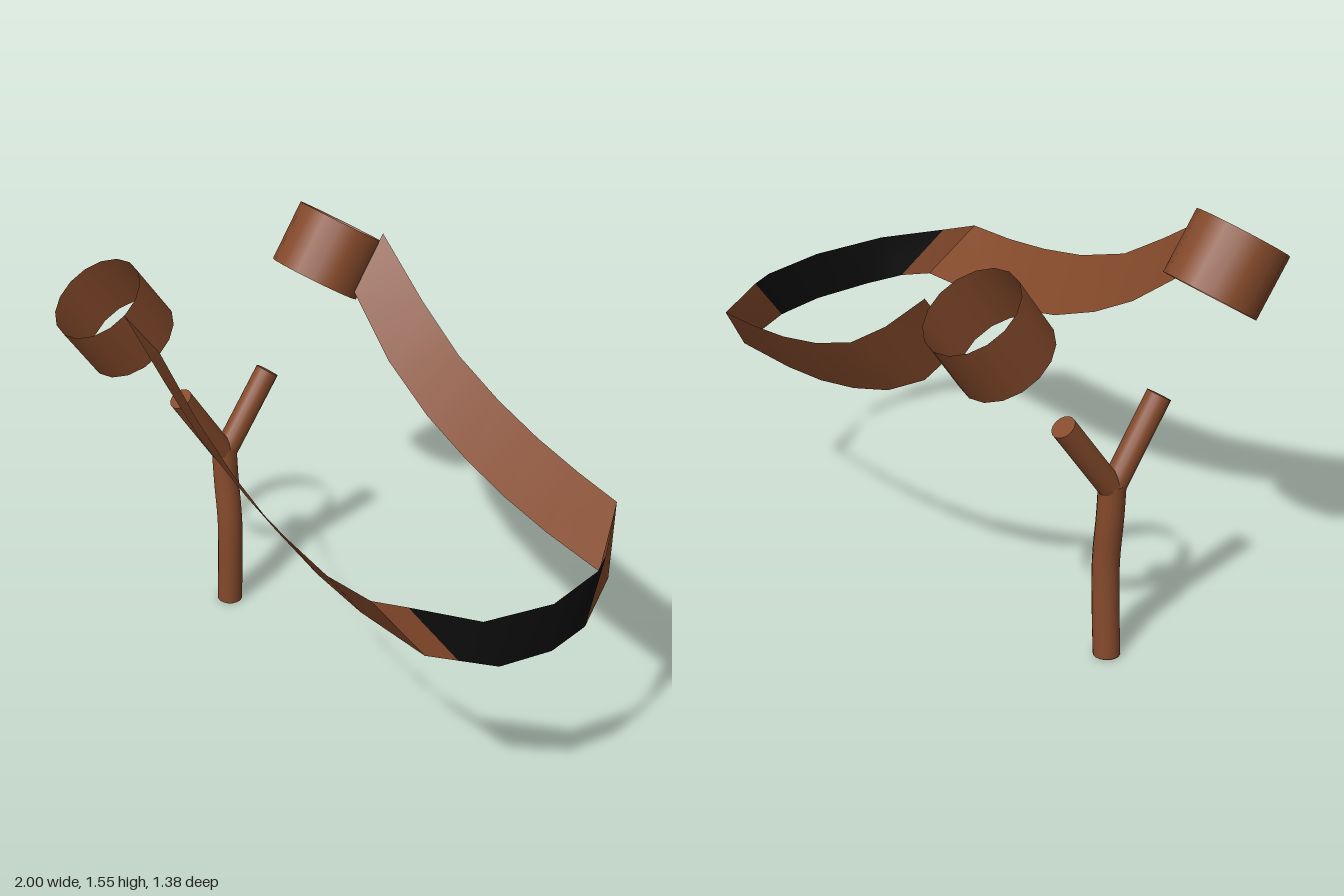
import * as THREE from 'three';

const V = (x, y, z) => new THREE.Vector3(x, y, z);

const wood = new THREE.MeshStandardMaterial({ color: 0x854a2b, side: THREE.DoubleSide });
wood.name = 'brown';
const leather = new THREE.MeshStandardMaterial({ color: 0x0d0d0d, side: THREE.DoubleSide });
leather.name = 'black';

function add(group, name, geometry, material) {
  const mesh = new THREE.Mesh(geometry, material);
  mesh.name = name;
  group.add(mesh);
  return mesh;
}

// Open strip between matching rows of top and bottom points
function strip(rows) {
  const pos = [], idx = [];
  rows.forEach(([top, bottom], i) => {
    pos.push(...top, ...bottom);
    if (i) {
      const a = 2 * i - 2;
      idx.push(a, a + 1, a + 2, a + 1, a + 3, a + 2);
    }
  });
  const g = new THREE.BufferGeometry();
  g.setAttribute('position', new THREE.Float32BufferAttribute(pos, 3));
  g.setIndex(idx);
  g.computeVertexNormals();
  return g;
}

// Straight round rod from a to b
function rod(group, name, a, b, r) {
  const d = b.clone().sub(a);
  const m = add(group, name, new THREE.CylinderGeometry(r, r, d.length(), 16), wood);
  m.position.copy(a).add(b).multiplyScalar(0.5);
  m.quaternion.setFromUnitVectors(V(0, 1, 0), d.normalize());
}

export function createModel() {
  const model = new THREE.Group();
  model.name = 'slingshot';

  // Forked handle: bent stem with two prongs
  const handle = new THREE.Group();
  handle.name = 'handle';
  model.add(handle);
  const z0 = 0.0265;
  const path = new THREE.CatmullRomCurve3([
    V(-0.818, 0, z0), V(-0.806, 0.18, z0), V(-0.801, 0.36, z0), V(-0.817, 0.54, z0), V(-0.824, 0.67, z0),
  ]);
  add(handle, 'stem', new THREE.TubeGeometry(path, 20, 0.048, 16), wood);
  const base = add(handle, 'stemBase', new THREE.CircleGeometry(0.048, 16), wood);
  base.rotation.x = Math.PI / 2;
  base.position.set(-0.818, 0.001, z0);
  const joint = V(-0.823, 0.645, z0);
  rod(handle, 'leftProng', joint, V(-0.82, 0.94, 0.217), 0.044);
  rod(handle, 'rightProng', joint, V(-0.82, 0.932, -0.18), 0.044);

  // Open rings that hold the band ends
  for (const [name, y, s] of [['leftRing', 1.349, 1], ['rightRing', 1.34, -1]]) {
    const ring = add(model, name, new THREE.CylinderGeometry(0.174, 0.174, 0.238, 16, 1, true), wood);
    ring.position.set(-0.826, y, 0.48 * s);
    ring.rotation.x = s * 0.6;
  }

  // Elastic bands, each row is [top corner, bottom corner]
  add(model, 'leftBand', strip([
    [[-0.655, 1.447, 0.547], [-0.655, 1.255, 0.407]],
    [[-0.41, 1.285, 0.552], [-0.42, 1.085, 0.415]],
    [[-0.19, 1.15, 0.556], [-0.2, 0.962, 0.42]],
    [[0.065, 1.055, 0.56], [0.04, 0.86, 0.422]],
    [[0.295, 1.0, 0.563], [0.28, 0.797, 0.424]],
    [[0.52, 0.963, 0.565], [0.52, 0.765, 0.425]],
    [[0.72, 0.957, 0.542], [0.834, 0.75, 0.408]],
  ]), wood);
  add(model, 'rightBand', strip([
    [[-0.655, 1.435, -0.607], [-0.655, 1.235, -0.47]],
    [[-0.42, 1.25, -0.604], [-0.44, 1.03, -0.466]],
    [[-0.2, 1.11, -0.6], [-0.21, 0.9, -0.462]],
    [[0.03, 1.02, -0.597], [0.015, 0.818, -0.459]],
    [[0.25, 0.96, -0.594], [0.235, 0.76, -0.456]],
    [[0.47, 0.92, -0.59], [0.465, 0.722, -0.453]],
    [[0.674, 0.894, -0.586], [0.79, 0.692, -0.45]],
  ]), wood);

  // Brown band ends that wrap round to the pouch
  const leftEdge = [[0.798, 0.935, 0.45], [0.908, 0.736, 0.327]];
  const rightEdge = [[0.885, 0.872, -0.34], [0.955, 0.683, -0.19]];
  add(model, 'leftBandEnd', strip([
    [[0.72, 0.957, 0.542], [0.834, 0.75, 0.408]], leftEdge,
  ]), wood);
  add(model, 'rightBandEnd', strip([
    rightEdge, [[0.674, 0.894, -0.586], [0.79, 0.692, -0.45]],
  ]), wood);

  // Black pouch
  add(model, 'pouch', strip([
    leftEdge,
    [[0.96, 0.89, 0.27], [0.98, 0.703, 0.213]],
    [[1, 0.871, 0], [1, 0.687, 0]],
    [[0.94, 0.87, -0.25], [0.965, 0.684, -0.15]],
    rightEdge,
  ]), leather);

  return model;
}
